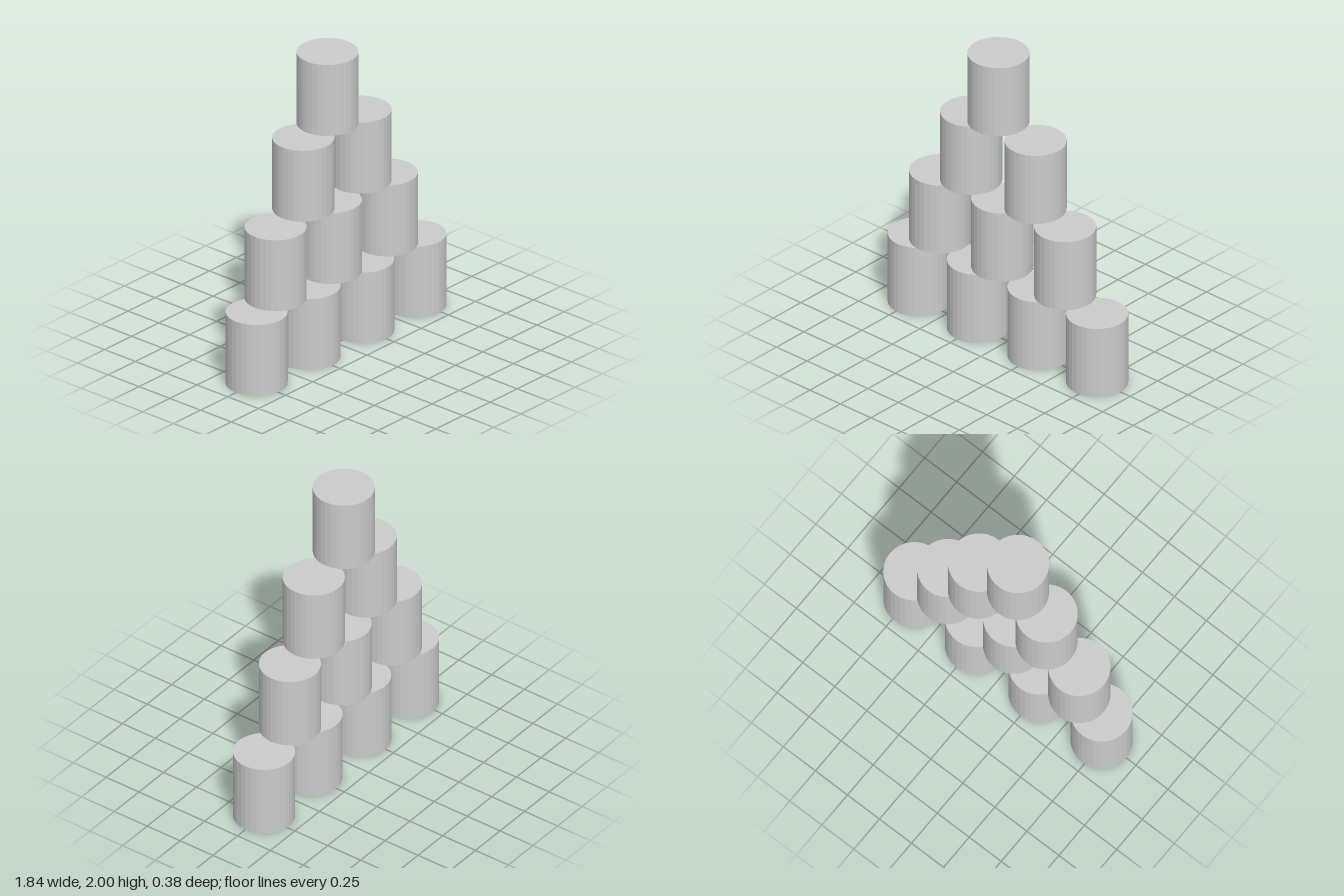
import * as THREE from 'three';

const RADIUS = 0.19;
const HEIGHT = 0.48;

// Rows of the pyramid: base height and the x centre of each can
const ROWS = [
  { y: 0, xs: [-0.733, -0.247, 0.249, 0.73] },
  { y: 0.51, xs: [-0.558, -0.049, 0.467] },
  { y: 1.023, xs: [-0.303, 0.225] },
  { y: 1.523, xs: [-0.08] },
];

export function createModel() {
  const model = new THREE.Group();
  model.name = 'canPyramid';

  const material = new THREE.MeshStandardMaterial({ color: 0xcccccc, flatShading: true });
  const canGeometry = new THREE.CylinderGeometry(RADIUS, RADIUS, HEIGHT, 32);
  canGeometry.translate(0, HEIGHT / 2, 0); // origin at the foot of the can

  ROWS.forEach(({ y, xs }, r) => {
    const row = new THREE.Group();
    row.name = `row${r + 1}`;
    row.position.y = y;
    xs.forEach((x, i) => {
      const can = new THREE.Mesh(canGeometry, material);
      can.name = `can${r + 1}_${i + 1}`;
      can.position.x = x;
      row.add(can);
    });
    model.add(row);
  });

  return model;
}
